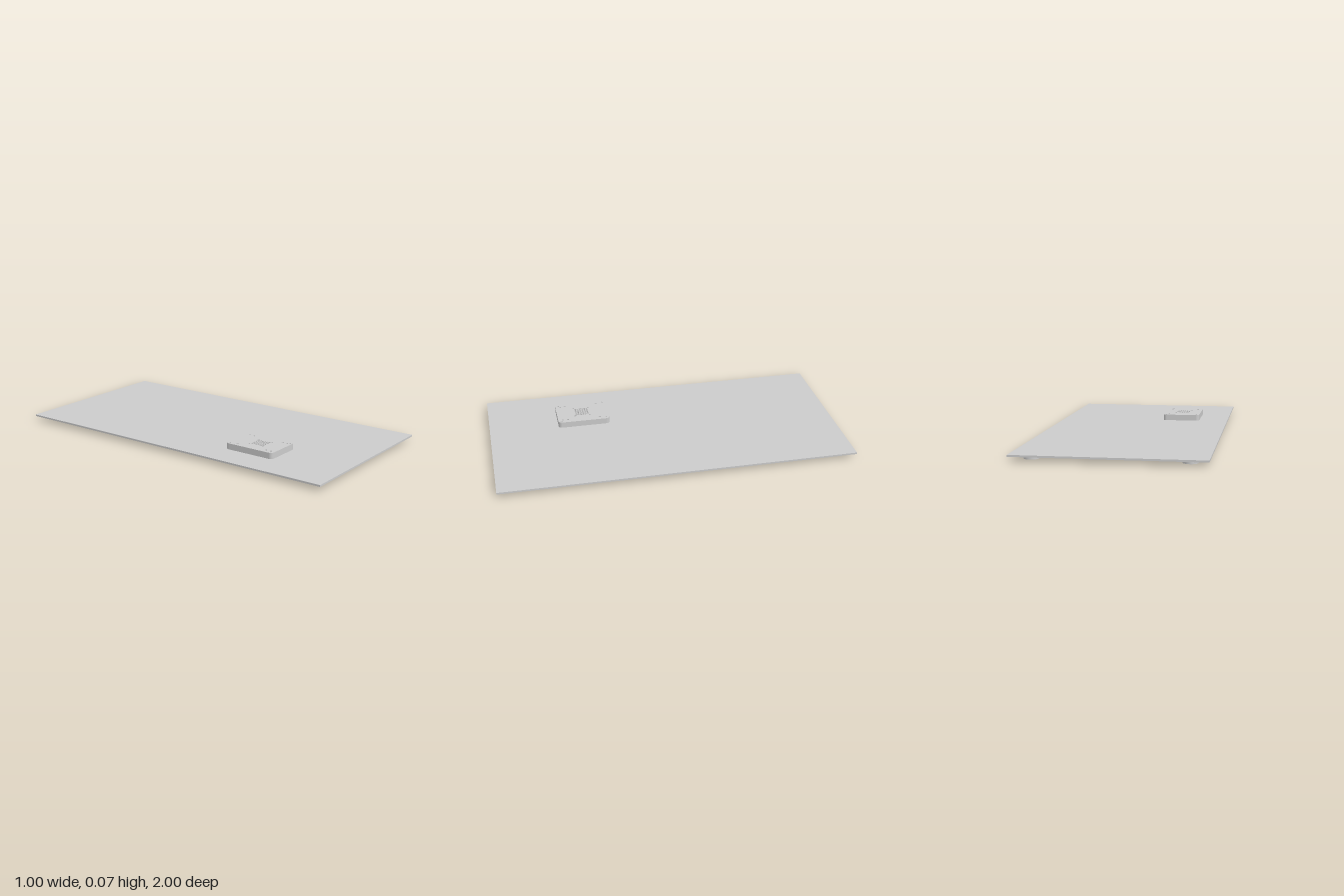
import * as THREE from 'three';

const material = new THREE.MeshStandardMaterial({ color: 0xcccccc });

function addMesh(parent, name, geometry, x, y, z) {
  const mesh = new THREE.Mesh(geometry, material);
  mesh.name = name;
  mesh.position.set(x, y, z);
  parent.add(mesh);
  return mesh;
}

function roundedRect(w, d, r) {
  const s = new THREE.Shape();
  const x = w / 2, y = d / 2;
  s.absarc(x - r, y - r, r, 0, Math.PI / 2);
  s.absarc(-x + r, y - r, r, Math.PI / 2, Math.PI);
  s.absarc(-x + r, -y + r, r, Math.PI, Math.PI * 1.5);
  s.absarc(x - r, -y + r, r, Math.PI * 1.5, Math.PI * 2);
  s.closePath();
  return s;
}

// Rounded block drilled with screw holes and a central vent grid
function drilledBlock() {
  const shape = roundedRect(0.218, 0.3, 0.02);
  const drill = (x, z, r) => {
    const hole = new THREE.Path();
    hole.absarc(x, -z, r, 0, Math.PI * 2, true);
    shape.holes.push(hole);
  };
  for (const sx of [-1, 1]) {
    for (const sz of [-1, 1]) {
      drill(sx * 0.092, sz * 0.132, 0.005);
      drill(sx * 0.08, sz * 0.094, 0.006);
      drill(sx * 0.044, 0.004 + sz * 0.044, 0.0055);
    }
    drill(sx * 0.079, 0.123, 0.006);
  }
  const pitch = 0.0136;
  for (let i = 0; i < 6; i++) {
    for (let j = 0; j < 6; j++) {
      drill((i - 2.5) * pitch, 0.004 + (j - 2.5) * pitch, 0.0058);
    }
  }
  const geometry = new THREE.ExtrudeGeometry(shape, { depth: 0.034, bevelEnabled: false, curveSegments: 10 });
  return geometry.rotateX(-Math.PI / 2);
}

export function createModel() {
  const model = new THREE.Group();
  model.name = 'platform';

  // Thin base plate
  addMesh(model, 'plate', new THREE.BoxGeometry(1, 0.01, 2), 0, 0.027, 0);

  // Round feet under the corners
  const foot = new THREE.CylinderGeometry(0.04, 0.04, 0.022, 40);
  for (const x of [-0.4, 0.4]) {
    for (const z of [-0.9, 0.9]) addMesh(model, 'foot', foot, x, 0.011, z);
  }

  // Mounted block on the plate
  addMesh(model, 'mountingBlock', drilledBlock(), -0.22, 0.032, 0.452);
  return model;
}
